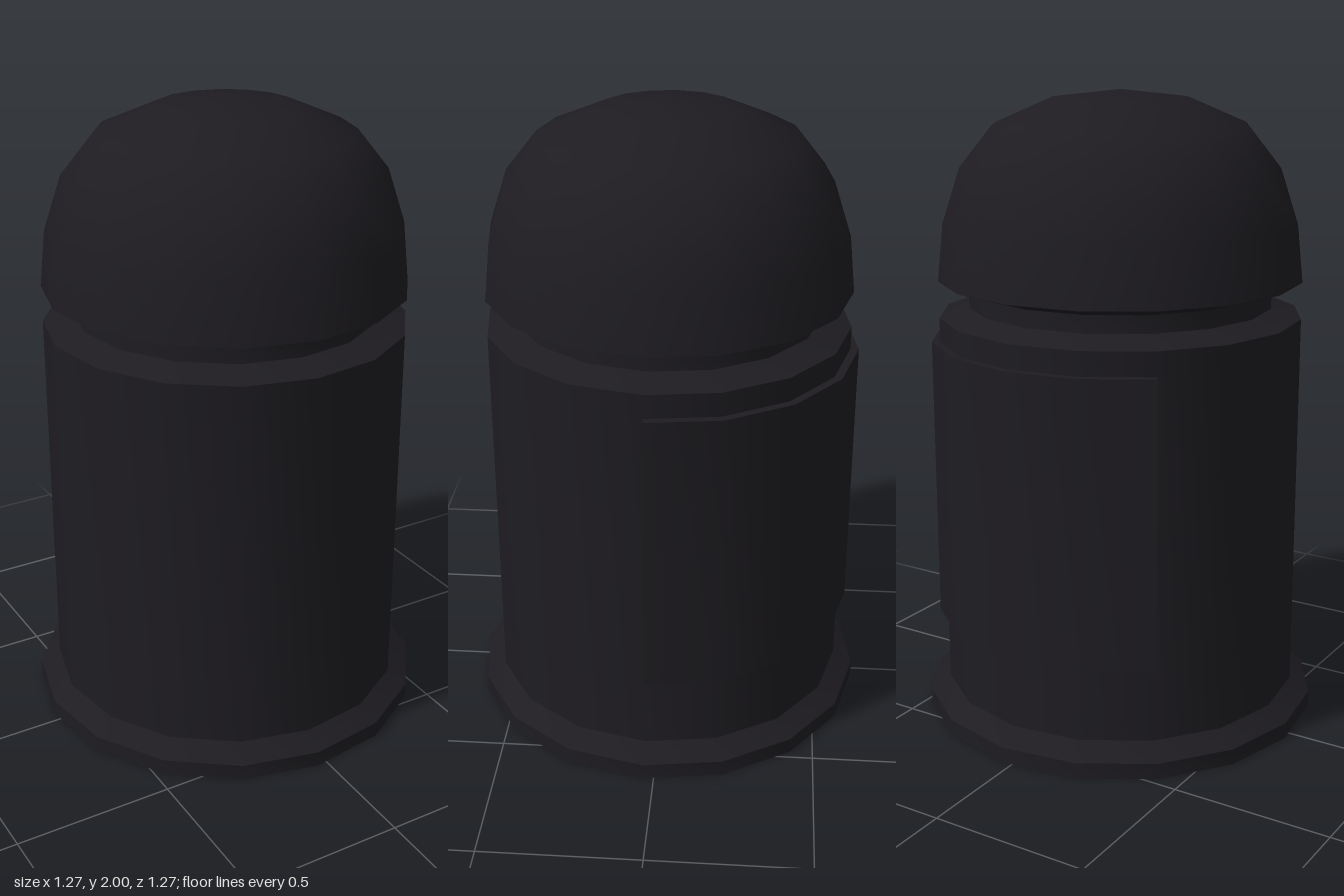
import * as THREE from 'three';
import { toCreasedNormals } from 'three/addons/utils/BufferGeometryUtils.js';

const SIDES = 16;
const STEP = (Math.PI * 2) / SIDES;
const TURN = THREE.MathUtils.degToRad(-3); // slight twist of the facets
const CREASE = 0.55;

const material = new THREE.MeshStandardMaterial({ color: 0x1e1c21, side: THREE.DoubleSide });

function addMesh(group, name, geometry) {
  const mesh = new THREE.Mesh(toCreasedNormals(geometry, CREASE), material);
  mesh.name = name;
  group.add(mesh);
}

// Ring of 16 sides turned from [radius, height] pairs, bottom to top
function turned(profile) {
  const points = profile.map(([r, y]) => new THREE.Vector2(r, y));
  return new THREE.LatheGeometry(points, SIDES, TURN, Math.PI * 2);
}

// Thin plate that follows the facets of the barrel
function curvedPlate(inner, outer, first, count, bottom, top) {
  const at = (r, i) => {
    const a = TURN + i * STEP;
    return new THREE.Vector2(r * Math.sin(a), -r * Math.cos(a));
  };
  const outline = [];
  for (let i = 0; i <= count; i++) outline.push(at(outer, first + i));
  for (let i = count; i >= 0; i--) outline.push(at(inner, first + i));
  const geometry = new THREE.ExtrudeGeometry(new THREE.Shape(outline), {
    depth: top - bottom, bevelEnabled: false,
  });
  return geometry.rotateX(-Math.PI / 2).translate(0, bottom, 0);
}

export function createModel() {
  const model = new THREE.Group();
  model.name = 'domedCanister';

  // Flared foot, open underneath
  addMesh(model, 'baseFlange', turned([[0.637, 0], [0.637, 0.05], [0.574, 0.095]]));

  // Straight wall with a chamfered shoulder
  addMesh(model, 'barrel', turned([[0.574, 0.095], [0.574, 1.305], [0.48, 1.335]]));

  // Recessed groove below the cap
  addMesh(model, 'neck', turned([[0.48, 1.335], [0.48, 1.39]]));

  // Domed cap with its sloping underside
  addMesh(model, 'domeCap', turned([
    [0.48, 1.39], [0.575, 1.42], [0.556, 1.6], [0.5, 1.77],
    [0.4, 1.895], [0.215, 1.975], [0, 2],
  ]));

  // Raised panel wrapped round the back and left side
  addMesh(model, 'wrapPanel', curvedPlate(0.57, 0.6, 4, 6, 0.33, 1.23));

  return model;
}
